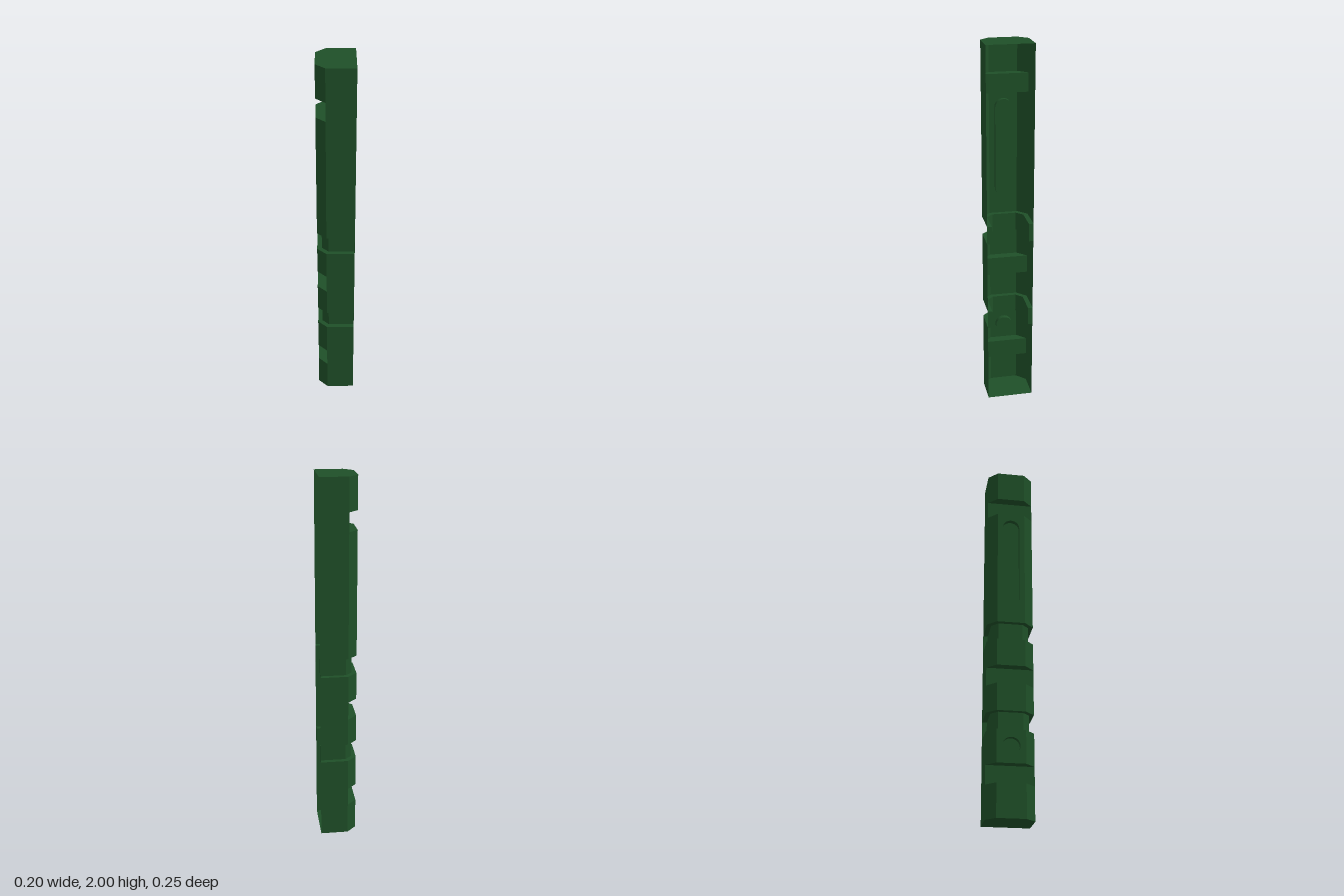
import * as THREE from 'three';

const material = new THREE.MeshStandardMaterial({
  color: 0x1f5028, side: THREE.DoubleSide, flatShading: true,
});

// Half cross-sections as [x, z] from the open +x edge to the middle of the -x face
const mirror = (half) => [...half, ...half.slice().reverse().map(([x, z]) => [x, -z])];
const FULL = mirror([[0.1, 0.125], [0.1, 0.125], [-0.05, 0.125], [-0.1, 0.075]]);
const NOTCH = mirror([[0.1, 0.125], [0.1, 0.125], [-0.05, 0.125], [-0.05, 0.075]]);
const GROOVE = mirror([[0.1, 0.125], [0.1, 0.1], [-0.04, 0.1], [-0.075, 0.065]]);
const FACE = 3; // index of the flat -x face in a cross-section

// Sections up the height; recess = [centre y, half length of the straight part]
const SECTIONS = [
  { y0: 0, y1: 0.175, profile: FULL },
  { y0: 0.175, y1: 0.275, profile: NOTCH },
  { y0: 0.275, y1: 0.45, profile: FULL, recess: [0.365, 0], name: 'roundRecess' },
  { y0: 0.45, y1: 0.55, profile: GROOVE },
  { y0: 0.55, y1: 0.7, profile: FULL },
  { y0: 0.7, y1: 0.8, profile: NOTCH },
  { y0: 0.8, y1: 0.95, profile: FULL },
  { y0: 0.95, y1: 1.05, profile: GROOVE },
  { y0: 1.05, y1: 1.725, profile: FULL, recess: [1.42, 0.22], name: 'longRecess' },
  { y0: 1.725, y1: 1.825, profile: NOTCH },
  { y0: 1.825, y1: 2, profile: FULL },
];
const RECESS_RADIUS = 0.046;
const RECESS_DEPTH = 0.025;

function mesh(name, geometry) {
  const m = new THREE.Mesh(geometry, material);
  m.name = name;
  return m;
}

// Strip of quads between two matching rows of points, skipping collapsed triangles
function strip(lower, upper, skip = -1) {
  const out = [];
  const add = (a, b, c) => {
    if (new THREE.Triangle(a, b, c).getArea() > 1e-7) {
      for (const p of [a, b, c]) out.push(p.x, p.y, p.z);
    }
  };
  for (let i = 0; i < lower.length - 1; i++) {
    if (i === skip) continue;
    add(lower[i], upper[i], upper[i + 1]);
    add(lower[i], upper[i + 1], lower[i + 1]);
  }
  const g = new THREE.BufferGeometry();
  g.setAttribute('position', new THREE.Float32BufferAttribute(out, 3));
  g.computeVertexNormals();
  return g;
}

const ring = (profile, y) => profile.map(([x, z]) => new THREE.Vector3(x, y, z));

// Flat -x panel with a sunken round-ended pocket
function recessedPanel({ y0, y1, recess: [cy, half], name }) {
  const group = new THREE.Group();
  group.name = name;
  const outline = (T) => {
    const s = new T();
    s.absarc(0, cy + half, RECESS_RADIUS, 0, Math.PI, false);
    s.absarc(0, cy - half, RECESS_RADIUS, Math.PI, Math.PI * 2, false);
    s.closePath();
    return s;
  };
  const panel = new THREE.Shape([
    new THREE.Vector2(-0.075, y0), new THREE.Vector2(0.075, y0),
    new THREE.Vector2(0.075, y1), new THREE.Vector2(-0.075, y1),
  ]);
  panel.holes.push(outline(THREE.Path));
  const pts = outline(THREE.Path).getPoints(16);
  const rim = (z) => pts.map((p) => new THREE.Vector3(p.x, p.y, z));
  const floor = new THREE.ShapeGeometry(outline(THREE.Shape), 16).translate(0, 0, -RECESS_DEPTH);
  group.add(
    mesh('panel', new THREE.ShapeGeometry(panel, 16)),
    mesh('pocketWall', strip(rim(-RECESS_DEPTH), rim(0))),
    mesh('pocketFloor', floor),
  );
  group.rotation.y = -Math.PI / 2;
  group.position.x = -0.1;
  return group;
}

// End plate closing the top or bottom
function cap(name, y, down) {
  const shape = new THREE.Shape(FULL.slice(1, -1).map(([x, z]) => new THREE.Vector2(x, down ? z : -z)));
  const g = new THREE.ShapeGeometry(shape).rotateX(down ? Math.PI / 2 : -Math.PI / 2);
  return mesh(name, g.translate(0, y, 0));
}

export function createModel() {
  const model = new THREE.Group();
  model.name = 'hollowGrip';
  SECTIONS.forEach((s, i) => {
    // Side walls
    const wall = strip(ring(s.profile, s.y0), ring(s.profile, s.y1), s.recess ? FACE : -1);
    const kind = s.profile === FULL ? 'wall' : s.profile === NOTCH ? 'notch' : 'groove';
    model.add(mesh(kind, wall));
    if (s.recess) model.add(recessedPanel(s));
    // Ledge up to the next section
    const next = SECTIONS[i + 1];
    if (next) model.add(mesh('ledge', strip(ring(s.profile, s.y1), ring(next.profile, s.y1))));
  });
  model.add(cap('topCap', 2, false), cap('bottomCap', 0, true));
  return model;
}
